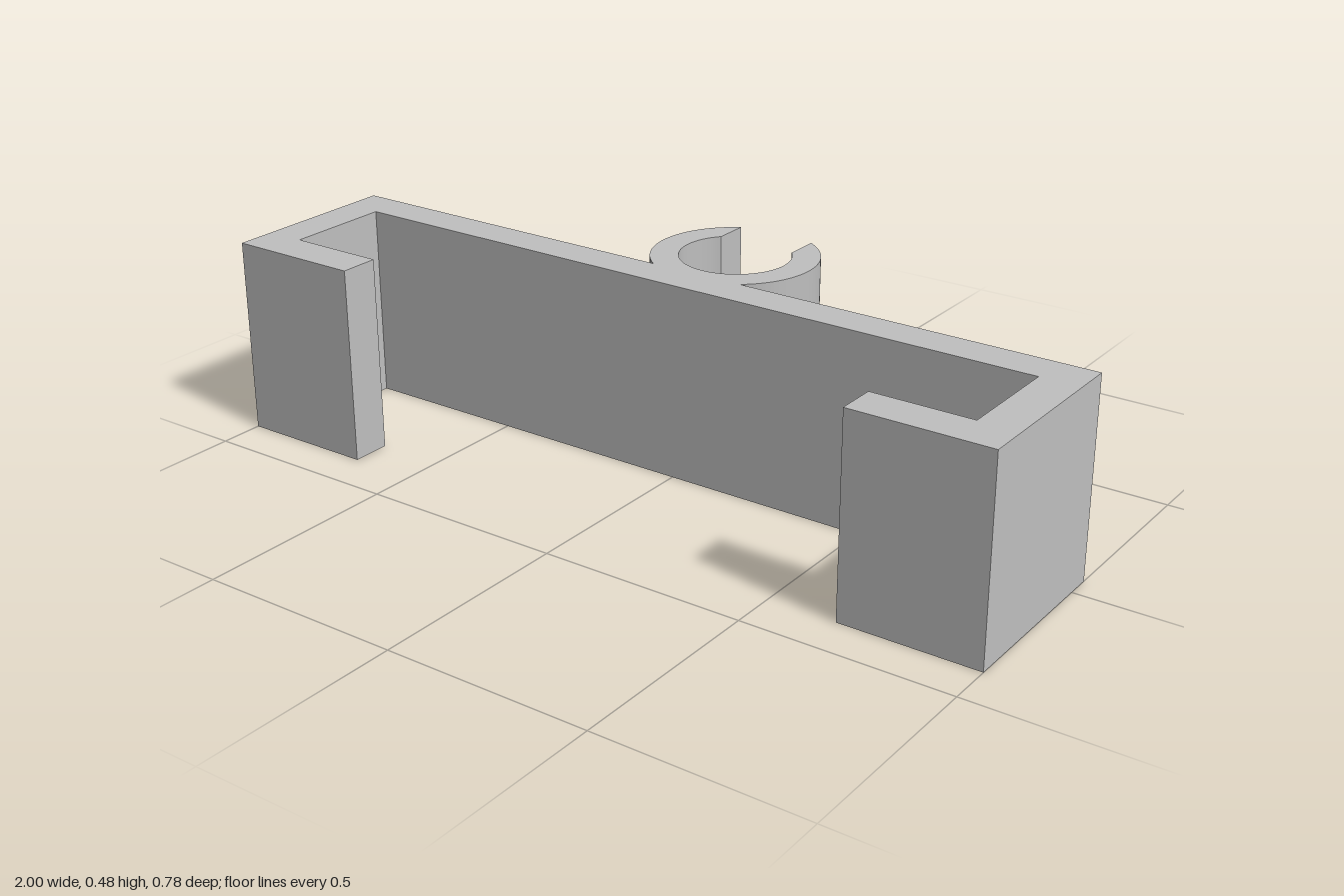
import * as THREE from 'three';
import { toCreasedNormals } from 'three/addons/utils/BufferGeometryUtils.js';

const HEIGHT = 0.477;
const BACK = 0.059; // back face of the bar, as distance behind z = 0

// Extrude a plan outline (x, -z) upward from the ground
function extrudeUp(shape) {
  const geometry = new THREE.ExtrudeGeometry(shape, { depth: HEIGHT, bevelEnabled: false, curveSegments: 48 });
  geometry.rotateX(-Math.PI / 2);
  return toCreasedNormals(geometry, 0.5);
}

// Long bar with a hooked arm at each end
function bracketShape() {
  const half = [[1, BACK], [1, -0.392], [0.665, -0.392], [0.665, -0.296], [0.905, -0.296], [0.905, -0.034]];
  const mirrored = half.map(([x, y]) => [-x, y]).reverse();
  return new THREE.Shape([...half, ...mirrored].map(([x, y]) => new THREE.Vector2(x, y)));
}

// Open ring, cut flat where it meets the bar and slotted at the back
function clipShape() {
  const centre = 0.219, outer = 0.2, inner = 0.133, slot = 0.1;
  const foot = -Math.asin((centre - BACK) / outer);
  const outerTip = Math.acos(slot / outer);
  const innerTip = Math.acos(slot / inner);
  const shape = new THREE.Shape();
  shape.absarc(0, centre, outer, foot, outerTip, false);
  shape.absarc(0, centre, inner, innerTip, Math.PI - innerTip, true);
  shape.absarc(0, centre, outer, Math.PI - outerTip, Math.PI - foot, false);
  shape.closePath();
  return shape;
}

export function createModel() {
  const group = new THREE.Group();
  group.name = 'clipBracket';
  const grey = new THREE.MeshStandardMaterial({ color: 0xbfbfbf });
  grey.name = 'grey';

  const parts = { hookedBar: bracketShape(), ringClip: clipShape() };
  for (const [name, shape] of Object.entries(parts)) {
    const mesh = new THREE.Mesh(extrudeUp(shape), grey);
    mesh.name = name;
    group.add(mesh);
  }
  return group;
}
